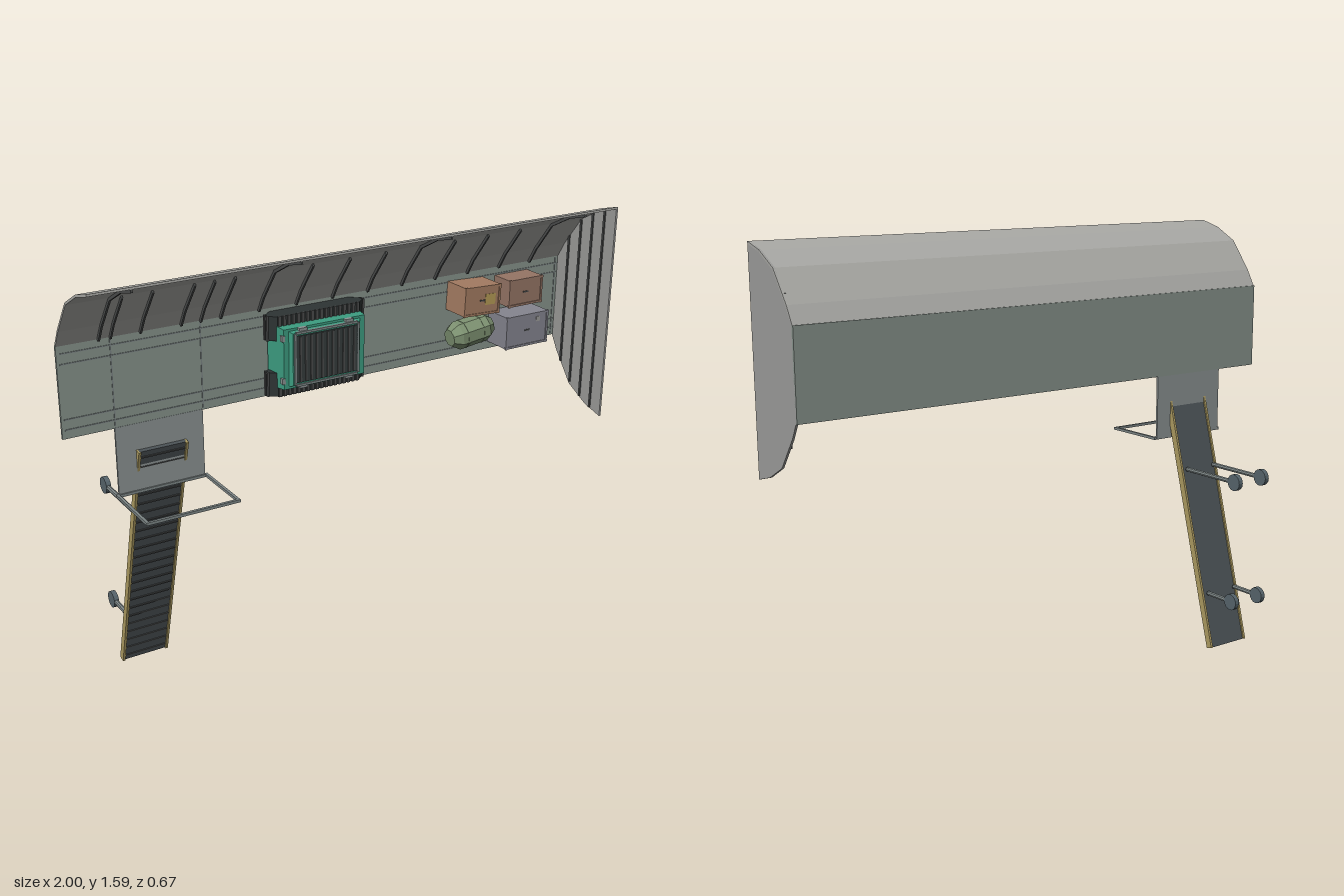
import * as THREE from 'three';

const mat = (color, side = THREE.FrontSide) => new THREE.MeshStandardMaterial({ color, flatShading: true, side });
const M = {
  floor: mat(0x87938c), wall: mat(0xa8a8a4), cap: mat(0x9b9b99), rib: mat(0x4a4c4c), tab: mat(0x8b9292),
  steel: mat(0x7b8484), deck: mat(0x4b5256), yellow: mat(0xab9a60), wheel: mat(0x56646b), track: mat(0x2e3434),
  green: mat(0x3c9c80), grille: mat(0x353d3d), brown: mat(0xa47c62), tan: mat(0x957565), olive: mat(0x7c9070),
  lilac: mat(0x85858f), label: mat(0xb59a55),
};

function add(parent, name, geometry, material, x = 0, y = 0, z = 0) {
  const mesh = new THREE.Mesh(geometry, material);
  mesh.name = name;
  mesh.position.set(x, y, z);
  parent.add(mesh);
  return mesh;
}
const box = (parent, name, material, w, h, d, x, y, z) =>
  add(parent, name, new THREE.BoxGeometry(w, h, d), material, x, y, z);

// Extrudes a [z, y] outline along x, centred on x = 0
function prism(points, width) {
  const shape = new THREE.Shape(points.map(([z, y]) => new THREE.Vector2(z, y)));
  const g = new THREE.ExtrudeGeometry(shape, { depth: width, bevelEnabled: false, steps: 1 });
  return g.translate(0, 0, -width / 2).rotateY(-Math.PI / 2);
}

// Upper half of the hull section as [z, y], and its mirror below
const ARC = [[0.035, 1.355], [0.07, 1.415], [0.155, 1.525], [0.25, 1.575], [0.335, 1.598]];
const MID = 1.2;
const LOWER = ARC.map(([z, y]) => [z, 2 * MID - y]);

// A band that follows the arc and lies between two inward offsets
function band(points, from, to) {
  const inset = (t) => points.map(([z, y]) => {
    const dz = 0.36 - z, dy = MID - y, l = Math.hypot(dz, dy);
    return [z + dz / l * t, y + dy / l * t];
  });
  return [...inset(from), ...inset(to).reverse()];
}

function hull(root) {
  const g = new THREE.Group();
  g.name = 'hull';
  root.add(g);
  box(g, 'floorPanel', M.floor, 2, 0.315, 0.01, 0, 1.1975, 0.036);
  add(g, 'curvedWall', prism(band(ARC, 0, 0.008), 2), M.wall);
  add(g, 'endCap', prism([...ARC, ...LOWER.reverse()], 0.008), M.cap, 0.996);
  // Wall ribs: every fourth one runs the full height
  for (let i = 0; i < 13; i++) {
    const full = i % 4 === 0;
    add(g, 'wallRib', prism(band(full ? ARC : ARC.slice(0, 3), 0.006, 0.018), 0.007), M.rib, -0.86 + i * 0.1425);
  }
  for (const x of [-0.82, -0.505]) add(g, 'doorRib', prism(band(ARC.slice(0, 3), 0.006, 0.018), 0.006), M.rib, x);
  // Upright stiffeners inside the end cap
  for (const [z, h] of [[0.1, 0.5], [0.16, 0.63], [0.22, 0.71], [0.28, 0.76]])
    box(g, 'capRib', M.rib, 0.006, h, 0.008, 0.99, MID, z);
  // Tie-down strips along the floor
  for (const y of [1.07, 1.105, 1.29, 1.325]) box(g, 'floorStrip', M.steel, 1.98, 0.004, 0.003, 0, y, 0.042);
  for (const x of [-0.82, -0.505, 0.98]) box(g, 'floorSeam', M.steel, 0.004, 0.3, 0.002, x, 1.1975, 0.042);
}

function doorway(root) {
  const g = new THREE.Group();
  g.name = 'doorway';
  root.add(g);
  box(g, 'doorSill', M.tab, 0.315, 0.245, 0.008, -0.665, 0.92, 0.038);
  // Open rectangular frame at the lower edge
  for (const z of [0.042, 0.277]) box(g, 'frameCrossbar', M.steel, 0.335, 0.01, 0.01, -0.665, 0.8, z);
  for (const s of [-1, 1]) box(g, 'frameSidebar', M.steel, 0.01, 0.01, 0.24, -0.665 + s * 0.1625, 0.8, 0.16);
}

function ramp(root) {
  const g = new THREE.Group();
  g.name = 'ramp';
  g.position.set(-0.663, 0.478, -0.083);
  g.rotation.x = 0.276;
  root.add(g);
  box(g, 'rampDeck', M.deck, 0.17, 0.975, 0.014, 0, 0, 0);
  for (const s of [-1, 1]) box(g, 'rampRail', M.yellow, 0.009, 0.975, 0.026, s * 0.086, 0, 0);
  for (let i = 0; i < 24; i++) box(g, 'rampCleat', M.rib, 0.162, 0.006, 0.005, 0, -0.465 + i * 0.0404, 0.008);
  // Struts with wheels behind the ramp
  for (const x of [-0.735, -0.6]) {
    for (const [y, z] of [[0.68, -0.04], [0.215, -0.175]]) {
      const len = z + 0.3;
      add(root, 'strut', new THREE.CylinderGeometry(0.009, 0.009, len, 8).rotateX(Math.PI / 2), M.steel, x, y, z - len / 2);
      add(root, 'wheel', new THREE.CylinderGeometry(0.031, 0.031, 0.018, 16).rotateZ(Math.PI / 2), M.wheel, x, y, -0.303);
    }
  }
}

// Box whose outer (+z) face is shrunk to leave sloping sides
function taperedBox(w, h, d, sx, sy) {
  const g = new THREE.BoxGeometry(w, h, d), p = g.attributes.position;
  for (let i = 0; i < p.count; i++)
    if (p.getZ(i) > 0) p.setXY(i, p.getX(i) * sx, p.getY(i) * sy);
  g.computeVertexNormals();
  return g;
}

function vehicle(root) {
  const g = new THREE.Group();
  g.name = 'trackedVehicle';
  g.position.set(-0.093, 1.198, 0.041);
  root.add(g);
  for (const s of [-1, 1]) {
    // Track loop lying against the floor, with raised links
    const loop = new THREE.Shape();
    loop.moveTo(-0.155, 0).lineTo(0.155, 0).lineTo(0.185, 0.025).lineTo(0.185, 0.045);
    loop.lineTo(0.16, 0.066).lineTo(-0.16, 0.066).lineTo(-0.185, 0.045).lineTo(-0.185, 0.025);
    const geo = new THREE.ExtrudeGeometry(loop, { depth: 0.085, bevelEnabled: false })
      .translate(0, 0, -0.0425).rotateX(Math.PI / 2).scale(1, 1, -1);
    geo.rotateX(0);
    const track = add(g, 'track', new THREE.ExtrudeGeometry(loop, { depth: 0.085, bevelEnabled: false })
      .translate(0, 0, -0.0425).rotateX(Math.PI / 2), M.track, 0, s * 0.099, 0);
    track.name = 'track';
    for (let i = 0; i < 18; i++) box(g, 'trackLink', M.rib, 0.011, 0.087, 0.006, -0.153 + i * 0.018, s * 0.099, 0.067);
    for (const e of [-1, 1])
      for (const z of [0.027, 0.043]) box(g, 'trackEndLink', M.rib, 0.007, 0.087, 0.009, e * 0.188, s * 0.099, z);
    // Side rails and brackets on the roof
    box(g, 'roofRail', M.steel, 0.24, 0.008, 0.01, 0, s * 0.092, 0.117);
    for (const x of [-0.09, 0.09]) box(g, 'railBracket', M.tab, 0.03, 0.012, 0.016, x, s * 0.1, 0.108);
    box(g, 'roofEdge', M.steel, 0.008, 0.18, 0.008, s * 0.123, 0, 0.117);
    box(g, 'lamp', M.tab, 0.012, 0.02, 0.014, -0.16, s * 0.075, 0.098);
  }
  add(g, 'body', taperedBox(0.34, 0.225, 0.09, 0.93, 0.94), M.green, 0, 0, 0.057);
  add(g, 'roof', taperedBox(0.285, 0.2, 0.02, 0.92, 0.92), M.green, 0, 0, 0.106);
  box(g, 'roofGrille', M.grille, 0.24, 0.165, 0.01, 0, 0, 0.116);
  for (let i = 0; i < 11; i++) box(g, 'grilleSlat', M.rib, 0.007, 0.16, 0.005, -0.105 + i * 0.021, 0, 0.122);
}

function crate(root, name, material, w, h, d, x, y, turn) {
  const g = new THREE.Group();
  g.name = name;
  g.position.set(x, y, 0.041);
  g.rotation.z = turn;
  root.add(g);
  box(g, 'crateBody', material, w, h, d, 0, 0, d / 2);
  // Edge battens and a latch
  for (const s of [-1, 1]) {
    box(g, 'crateBatten', material, w + 0.005, 0.008, 0.006, 0, s * (h / 2 - 0.003), d);
    box(g, 'crateBatten', material, 0.008, h + 0.005, 0.006, s * (w / 2 - 0.003), 0, d);
  }
  box(g, 'crateLatch', M.rib, 0.022, 0.005, 0.004, 0, 0, d + 0.001);
  return g;
}

function cargo(root) {
  const a = crate(root, 'largeCrate', M.brown, 0.155, 0.105, 0.11, 0.56, 1.275, -0.04);
  box(a, 'crateLabel', M.label, 0.045, 0.04, 0.003, 0.035, 0.002, 0.11);
  crate(root, 'smallCrate', M.tan, 0.15, 0.1, 0.09, 0.772, 1.27, 0);
  const c = crate(root, 'greyCrate', M.lilac, 0.19, 0.12, 0.11, 0.772, 1.128, 0);
  box(c, 'crateLabel', M.cap, 0.018, 0.018, 0.003, 0.05, 0.035, 0.11);
  // Eight-sided canister with chamfered ends
  const pts = [[0, -0.09], [0.032, -0.09], [0.052, -0.06], [0.052, 0.06], [0.032, 0.09], [0, 0.09]];
  const geo = new THREE.LatheGeometry(pts.map(([r, y]) => new THREE.Vector2(r, y)), 8, Math.PI / 8).rotateZ(-Math.PI / 2);
  const can = add(root, 'canister', geo, M.olive, 0.555, 1.143, 0.09);
  can.rotation.z = 0.12;
  for (const x of [-0.035, 0.035])
    add(can, 'canisterBand', new THREE.CylinderGeometry(0.0535, 0.0535, 0.006, 8, 1, false, Math.PI / 8).rotateZ(-Math.PI / 2), M.olive, x);
}

export function createModel() {
  const root = new THREE.Group();
  root.name = 'cargoHold';
  hull(root);
  doorway(root);
  ramp(root);
  vehicle(root);
  cargo(root);
  return root;
}
